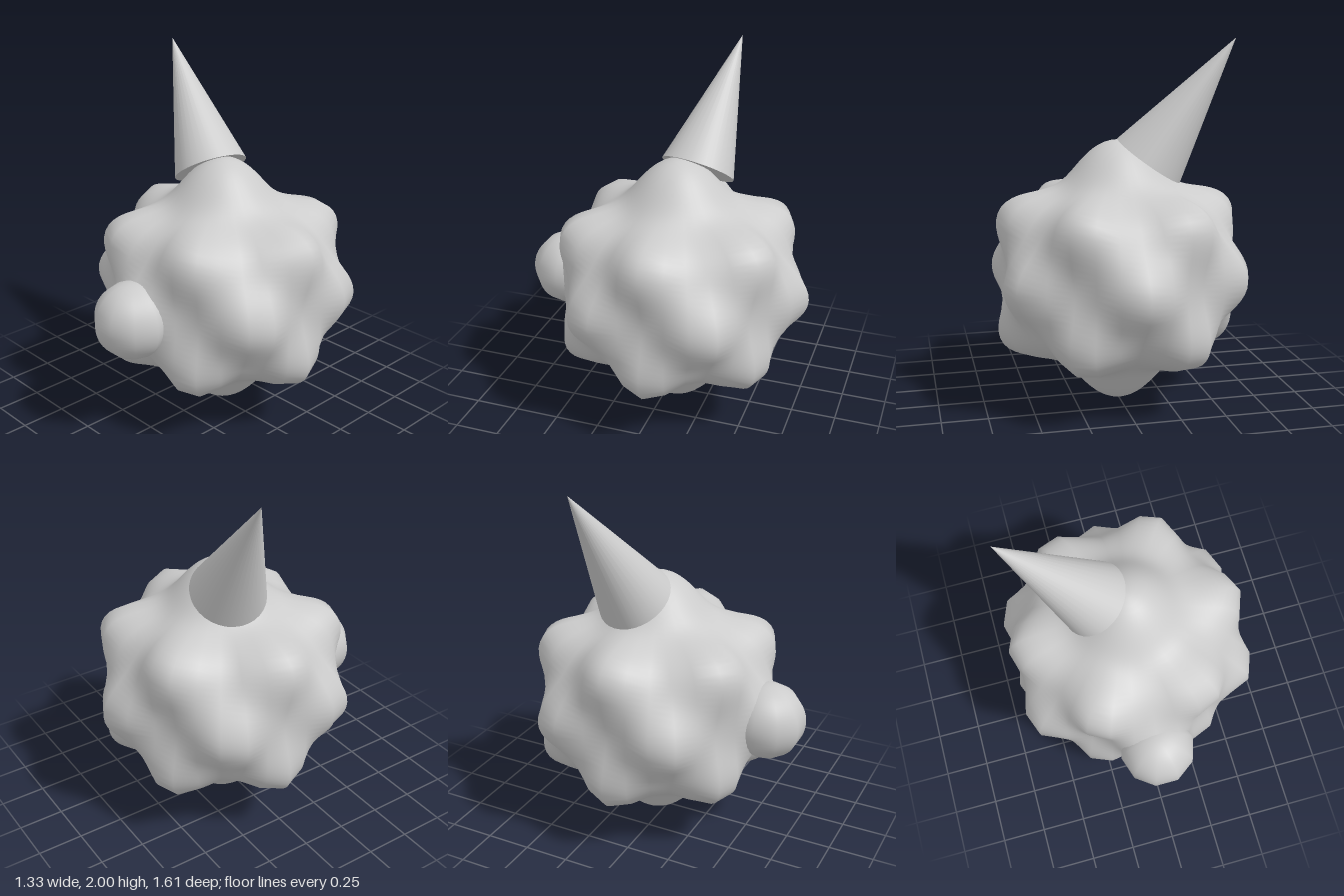
import * as THREE from 'three';
import { mergeVertices } from 'three/addons/utils/BufferGeometryUtils.js';

const grey = () => new THREE.MeshStandardMaterial({ color: 0xcccccc });

// Broad knobs on the poles and three staggered rings of six narrower ones
function makeKnobs() {
  const knobs = [1, -1].map((y) => ({ dir: new THREE.Vector3(0, y, 0), height: 0.193, spread: 0.3 }));
  for (const level of [-1, 0, 1]) {
    const lat = (level * Math.PI) / 6;
    const turn = level === 0 ? Math.PI / 6 : 0;
    for (let i = 0; i < 6; i++) {
      const a = turn + (i * Math.PI) / 3;
      const dir = new THREE.Vector3(Math.cos(lat) * Math.cos(a), Math.sin(lat), Math.cos(lat) * Math.sin(a));
      knobs.push({ dir, height: 0.205, spread: 0.234 });
    }
  }
  return knobs;
}

// Ball whose surface swells smoothly towards each knob
function knobblyBall(base) {
  const sphere = new THREE.SphereGeometry(1, 32, 64);
  sphere.deleteAttribute('uv');
  sphere.deleteAttribute('normal');
  const geo = mergeVertices(sphere, 1e-4);
  const knobs = makeKnobs();
  const pos = geo.attributes.position;
  const v = new THREE.Vector3();
  for (let i = 0; i < pos.count; i++) {
    v.fromBufferAttribute(pos, i).normalize();
    let radius = base;
    for (const { dir, height, spread } of knobs) {
      const a = v.angleTo(dir) / spread;
      radius += height * Math.exp(-0.5 * a * a);
    }
    v.multiplyScalar(radius);
    pos.setXYZ(i, v.x, v.y, v.z);
  }
  geo.computeVertexNormals();
  return geo;
}

export function createModel() {
  const group = new THREE.Group();
  const add = (name, geo, x, y, z) => {
    const mesh = new THREE.Mesh(geo, grey());
    mesh.name = name;
    mesh.position.set(x, y, z);
    group.add(mesh);
    return mesh;
  };

  // Lumpy body
  add('body', knobblyBall(0.535), 0, 0.73, -0.06);

  // Round nose on the front
  add('nose', new THREE.SphereGeometry(0.21, 10, 32), 0, 0.71, 0.6);

  // Pointed horn leaning to the right and back
  const foot = new THREE.Vector3(-0.16, 1.347, -0.118);
  const tip = new THREE.Vector3(-0.6, 2, -0.235);
  const axis = tip.clone().sub(foot);
  const mid = foot.clone().add(tip).multiplyScalar(0.5);
  const horn = add('horn', new THREE.ConeGeometry(0.207, axis.length(), 32), mid.x, mid.y, mid.z);
  horn.quaternion.setFromUnitVectors(new THREE.Vector3(0, 1, 0), axis.normalize());

  return group;
}
